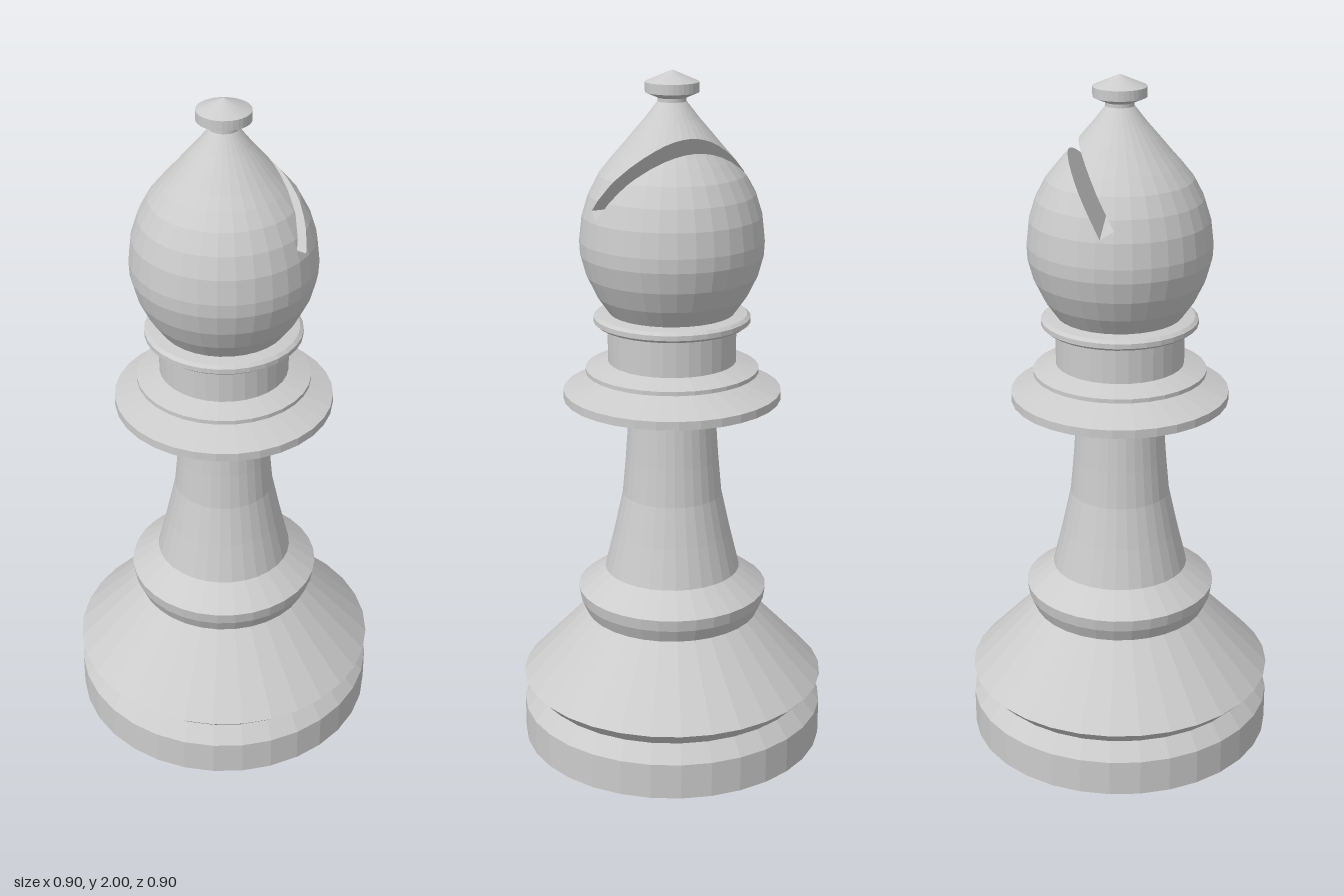
import * as THREE from 'three';

const SEGMENTS = 32;
const material = new THREE.MeshStandardMaterial({ color: 0xcccccc, flatShading: true });

function lathe(profile) {
  return new THREE.LatheGeometry(profile.map(([r, y]) => new THREE.Vector2(r, y)), SEGMENTS);
}

function addPart(group, name, geometry) {
  const mesh = new THREE.Mesh(geometry, material);
  mesh.name = name;
  group.add(mesh);
}

// Part of a convex polygon where sign * (axis . p - offset) >= 0
function clip(poly, axis, offset, sign) {
  const out = [];
  poly.forEach((p, i) => {
    const q = poly[(i + 1) % poly.length];
    const a = sign * (axis.dot(p) - offset), b = sign * (axis.dot(q) - offset);
    if (a >= 0) out.push(p);
    if ((a > 0 && b < 0) || (a < 0 && b > 0)) out.push(p.clone().lerp(q, a / (a - b)));
  });
  return out;
}

// Turned head with a slanted slot sawn out from its back
function slottedHead(profile) {
  const tilt = Math.PI / 3;
  const along = new THREE.Vector3(0, Math.sin(tilt), -Math.cos(tilt)); // towards the slot mouth
  const across = new THREE.Vector3(0, Math.cos(tilt), Math.sin(tilt)); // through the slot width
  const floor = 1.412, low = 0.772, high = 0.816;

  const triangles = [];
  const addFan = (poly) => {
    for (let i = 1; i < poly.length - 1; i++) triangles.push(poly[0], poly[i], poly[i + 1]);
  };

  // Outer skin: every facet keeps only what lies outside the slot
  const pos = lathe(profile).toNonIndexed().getAttribute('position');
  const skin = [];
  for (let i = 0; i < pos.count; i += 3) {
    const tri = [0, 1, 2].map((k) => new THREE.Vector3().fromBufferAttribute(pos, i + k));
    const above = clip(tri, along, floor, 1);
    const middle = clip(clip(above, across, low, 1), across, high, -1);
    skin.push(...middle);
    addFan(clip(tri, along, floor, -1));
    addFan(clip(above, across, low, -1));
    addFan(clip(above, across, high, 1));
  }

  // Slot walls and floor: fill the outline the cut left on each plane
  const fill = (axis, offset, normal) => {
    const rim = skin.filter((p) => Math.abs(axis.dot(p) - offset) < 1e-6);
    const side = new THREE.Vector3(1, 0, 0);
    const up = normal.clone().cross(side);
    const centre = new THREE.Vector3();
    rim.forEach((p) => centre.addScaledVector(p, 1 / rim.length));
    const angle = (p) => Math.atan2(p.clone().sub(centre).dot(up), p.x - centre.x);
    rim.sort((p, q) => angle(p) - angle(q));
    rim.forEach((p, i) => {
      const q = rim[(i + 1) % rim.length];
      if (p.distanceTo(q) > 1e-6) triangles.push(centre, p, q);
    });
  };
  fill(across, low, across);
  fill(across, high, across.clone().negate());
  fill(along, floor, along);

  const geometry = new THREE.BufferGeometry().setFromPoints(triangles);
  geometry.computeVertexNormals();
  return geometry;
}

export function createModel() {
  const group = new THREE.Group();
  group.name = 'bishop';

  addPart(group, 'base', lathe([
    [0, 0], [0.45, 0], [0.45, 0.107], [0.41, 0.155], [0.45, 0.197], [0.257, 0.4],
  ]));
  addPart(group, 'baseRing', lathe([
    [0.257, 0.4], [0.275, 0.44], [0.28, 0.475], [0.2, 0.535],
  ]));
  addPart(group, 'stem', lathe([
    [0.2, 0.535], [0.172, 0.65], [0.146, 0.77], [0.136, 0.88], [0.127, 1.01],
  ]));
  addPart(group, 'collar', lathe([
    [0.127, 1.01], [0.315, 1.065], [0.315, 1.09], [0.2, 1.128],
    [0.25, 1.143], [0.25, 1.155], [0.185, 1.175],
  ]));
  addPart(group, 'neck', lathe([
    [0.185, 1.175], [0.185, 1.285], [0.215, 1.285], [0.225, 1.293],
    [0.225, 1.307], [0.215, 1.315], [0.18, 1.32],
  ]));
  addPart(group, 'head', slottedHead([
    [0.18, 1.32], [0.215, 1.37], [0.244, 1.43], [0.26, 1.49], [0.262, 1.53],
    [0.254, 1.6], [0.235, 1.66], [0.206, 1.715], [0.172, 1.757], [0.143, 1.79],
    [0.111, 1.828], [0.075, 1.87], [0.04, 1.915],
  ]));
  addPart(group, 'finial', lathe([
    [0.04, 1.915], [0.04, 1.925], [0.075, 1.94], [0.075, 1.968], [0, 2],
  ]));
  return group;
}
